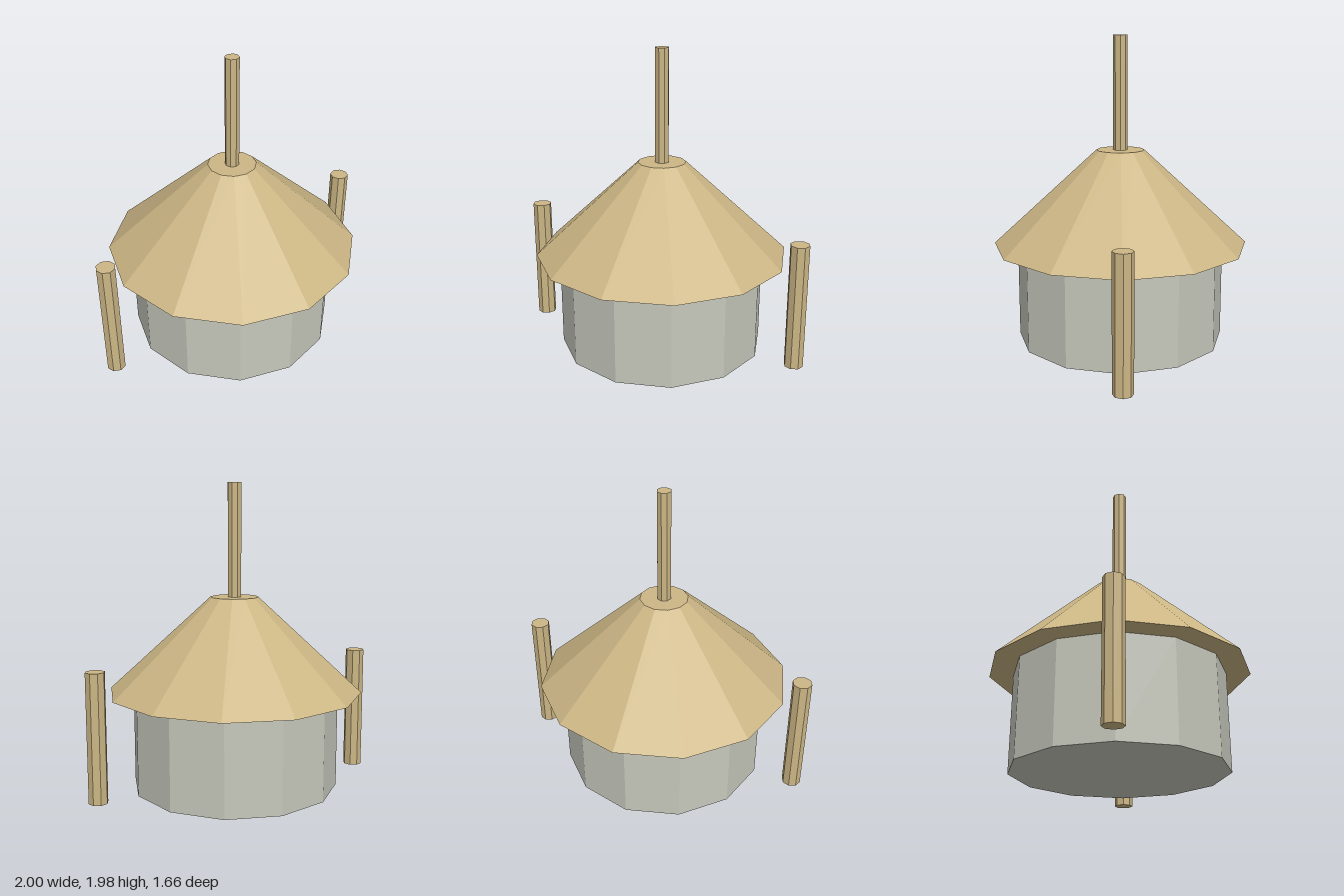
import * as THREE from 'three';

export function createModel() {
  const model = new THREE.Group();
  const wall = new THREE.MeshStandardMaterial({ color: 0xc6c8bc });
  wall.name = 'pale stone';
  const straw = new THREE.MeshStandardMaterial({ color: 0xccb685 });
  straw.name = 'straw tan';
  for (const m of [wall, straw]) m.flatShading = true;

  // Faceted upright drum, tapered if the radii differ, standing on y0
  function drum(name, material, rTop, rBottom, y0, y1, sides, x = 0) {
    const geometry = new THREE.CylinderGeometry(rTop, rBottom, y1 - y0, sides);
    const mesh = new THREE.Mesh(geometry, material);
    mesh.name = name;
    mesh.position.set(x, (y0 + y1) / 2, 0);
    model.add(mesh);
  }

  // Round hut under a flat-topped conical roof
  drum('wall', wall, 0.677, 0.677, 0, 0.63, 12);
  drum('roof', straw, 0.156, 0.83, 0.63, 1.25, 12);
  drum('roofPole', straw, 0.046, 0.046, 1.25, 1.98, 8);

  // Free-standing posts on either side
  drum('leftPost', straw, 0.0625, 0.0625, 0, 0.833, 8, 0.9375);
  drum('rightPost', straw, 0.0625, 0.0625, 0, 0.833, 8, -0.9375);

  return model;
}
